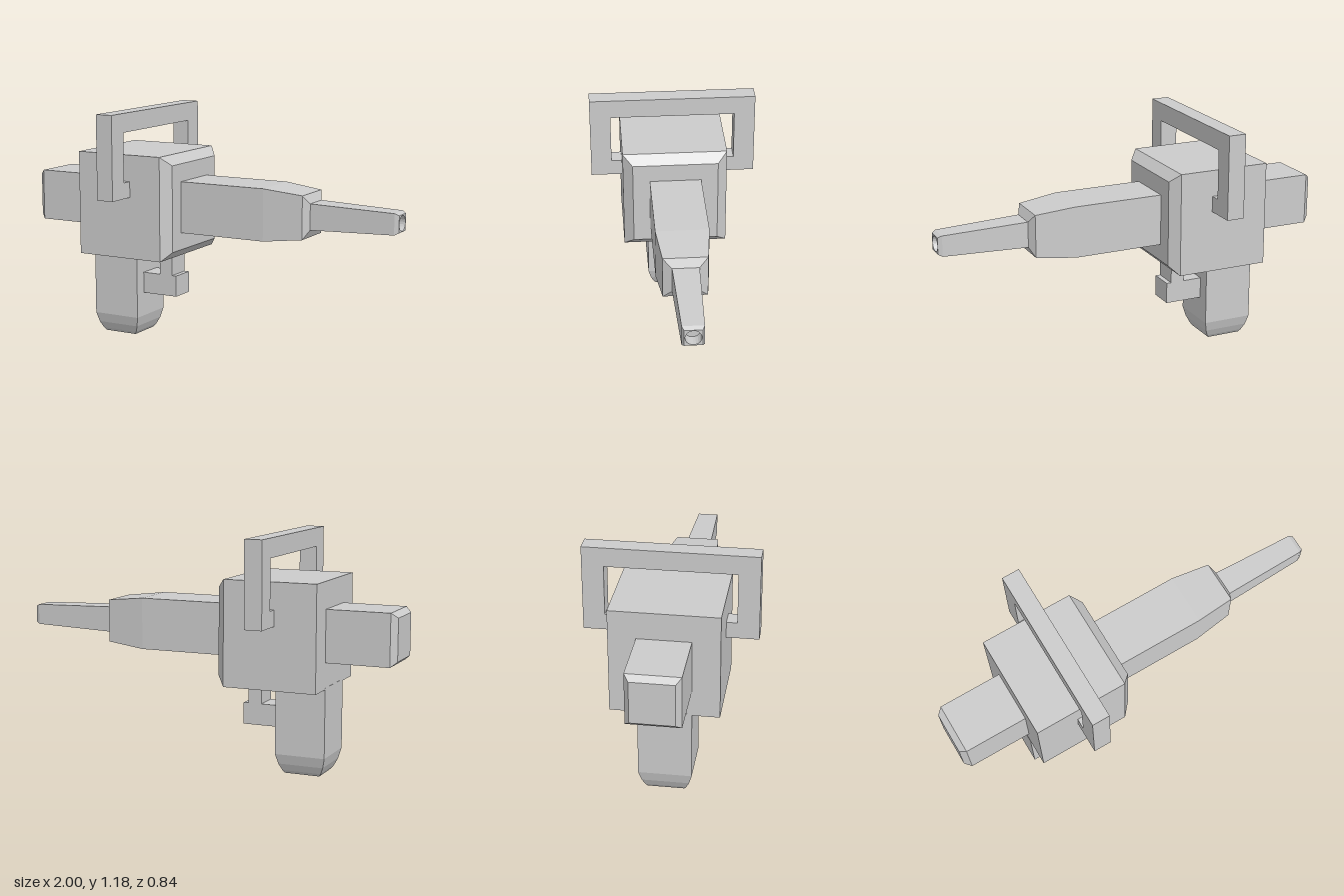
import * as THREE from 'three';

const material = new THREE.MeshStandardMaterial({ color: 0xcccccc, flatShading: true });
const AXIS_Y = 0.703; // height of the barrel line

// Rectangular loft along x: stations are [x, half height, half depth]
function loft(stations, capEnd = true) {
  const rings = stations.map(([x, h, d]) =>
    [[-1, -1], [1, -1], [1, 1], [-1, 1]].map(([y, z]) => [x, y * h, z * d]));
  const points = [];
  const quad = (a, b, c, d) => points.push(...a, ...b, ...c, ...a, ...c, ...d);
  for (let s = 0; s < rings.length - 1; s++) {
    for (let i = 0; i < 4; i++) {
      const j = (i + 1) % 4;
      quad(rings[s][i], rings[s][j], rings[s + 1][j], rings[s + 1][i]);
    }
  }
  const [first, last] = [rings[0], rings[rings.length - 1]];
  quad(first[3], first[2], first[1], first[0]);
  if (capEnd) quad(...last);
  const geometry = new THREE.BufferGeometry();
  geometry.setAttribute('position', new THREE.Float32BufferAttribute(points, 3));
  geometry.computeVertexNormals();
  return geometry;
}

// Extrude an upright (z, y) outline along x
function extrudeX(shape, depth) {
  return new THREE.ExtrudeGeometry(shape, { depth, bevelEnabled: false, curveSegments: 10 })
    .rotateY(Math.PI / 2);
}

export function createModel() {
  const model = new THREE.Group();
  const add = (name, geometry, x = 0, y = 0, z = 0) => {
    const mesh = new THREE.Mesh(geometry, material);
    mesh.name = name;
    mesh.position.set(x, y, z);
    model.add(mesh);
  };
  const block = (name, x0, x1, y0, y1, depth) =>
    add(name, new THREE.BoxGeometry(x1 - x0, y1 - y0, depth), (x0 + x1) / 2, (y0 + y1) / 2);

  // Main housing with a chamfered front edge
  add('housing', loft([[-0.65, 0.263, 0.263], [-0.175, 0.263, 0.263], [-0.13, 0.218, 0.215]]),
    0, 0.705);

  // Rear block with a chamfered end
  add('rearBlock', loft([[-1, 0.105, 0.105], [-0.97, 0.13, 0.13], [-0.64, 0.13, 0.13]]), 0, AXIS_Y);

  // Square barrel tapering towards a narrow nozzle
  add('barrel', loft([[-0.14, 0.13, 0.13], [0.33, 0.13, 0.13], [0.53, 0.108, 0.108],
    [0.552, 0.065, 0.065]]), 0, AXIS_Y);
  add('nozzle', loft([[0.54, 0.065, 0.065], [0.98, 0.052, 0.052], [1, 0.042, 0.042]], false),
    0, AXIS_Y);

  // Muzzle face with its recessed bore
  const face = new THREE.Shape();
  face.moveTo(-0.042, -0.042).lineTo(0.042, -0.042).lineTo(0.042, 0.042).lineTo(-0.042, 0.042);
  const bore = new THREE.Path();
  bore.absarc(0, 0, 0.038, 0, Math.PI * 2, true);
  face.holes.push(bore);
  add('muzzle', extrudeX(face, 0.06), 0.94, AXIS_Y);
  add('boreBottom', new THREE.CircleGeometry(0.04, 10).rotateY(Math.PI / 2), 0.942, AXIS_Y);

  // Grip, rounded at the foot
  add('grip', loft([[0, 0.09, 0.09], [0.015, 0.1, 0.1], [0.05, 0.116, 0.116], [0.1, 0.128, 0.13],
    [0.45, 0.128, 0.13]]).rotateZ(Math.PI / 2), -0.523);

  // Trigger: a stem below the housing and a foot reaching the grip
  block('triggerStem', -0.295, -0.225, 0.33, 0.45, 0.13);
  block('triggerFoot', -0.41, -0.2, 0.222, 0.33, 0.13);

  // Carrying handle bridging over the housing
  const half = [[0.25, 0.755], [0.42, 0.755], [0.42, 1.18]];
  const inner = [[0.315, 1.085], [0.315, 0.835], [0.25, 0.835]];
  const mirror = (points) => points.map(([z, y]) => [-z, y]).reverse();
  const outline = [...half, ...mirror(half), ...mirror(inner), ...inner];
  add('carryHandle', extrudeX(new THREE.Shape(outline.map(([z, y]) => new THREE.Vector2(z, y))), 0.09),
    -0.438);

  return model;
}
